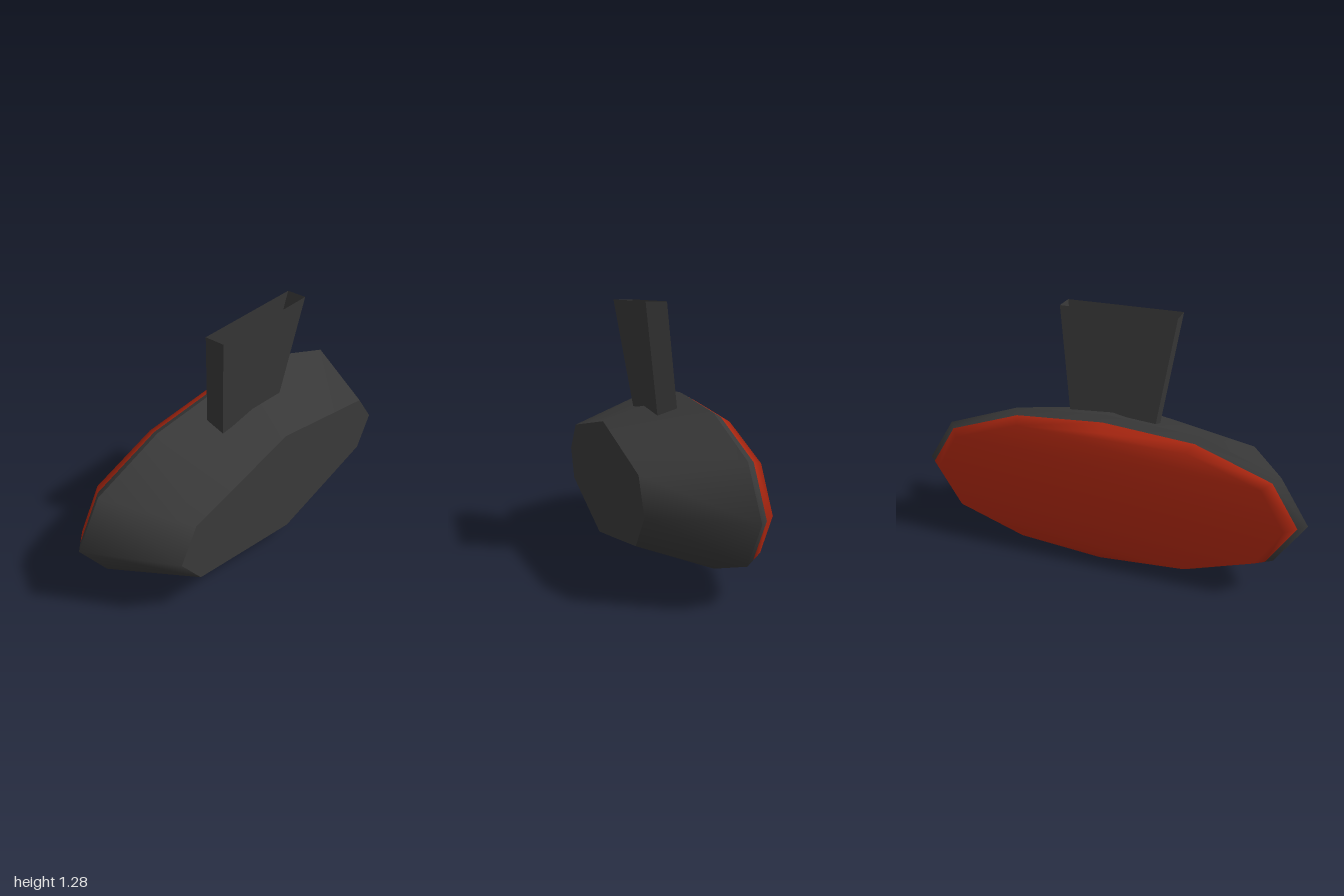
import * as THREE from 'three';

const housingMat = new THREE.MeshStandardMaterial({ color: 0x383838, side: THREE.DoubleSide });
housingMat.name = 'dark grey plastic';
const lensMat = new THREE.MeshStandardMaterial({ color: 0xaa2610 });
lensMat.name = 'red lens';

// Twelve-sided outline from its right-hand quarter; z leans linearly with height
function outline(quarter, zAtBase, lean) {
  const [tip, upper, shoulder, top, bottom, lowShoulder, lower] = quarter;
  const mirror = ([x, y]) => [-x, y];
  return [tip, upper, shoulder, top, mirror(shoulder), mirror(upper), mirror(tip),
    mirror(lower), mirror(lowShoulder), bottom, lowShoulder, lower]
    .map(([x, y]) => new THREE.Vector3(x, y, zAtBase + lean * y));
}

// Wall between two closed rings, with shared vertices for smooth shading
function wallIndex(n) {
  const index = [];
  for (let i = 0; i < n; i++) {
    const j = (i + 1) % n;
    index.push(i, j, n + j, i, n + j, n + i);
  }
  return index;
}

// Flat cap over a twelve-point ring, cut into horizontal strips
function capIndex(start, facesFront) {
  const rows = [[3, 3], [2, 4], [1, 5], [0, 6], [11, 7], [10, 8], [9, 9]];
  const index = [];
  const add = (a, b, c) => {
    if (a === b || b === c || a === c) return;
    index.push(...(facesFront ? [a, b, c] : [a, c, b]).map((k) => k + start));
  };
  for (let k = 0; k < rows.length - 1; k++) {
    const [r0, l0] = rows[k], [r1, l1] = rows[k + 1];
    add(r0, l0, l1);
    add(r0, l1, r1);
  }
  return index;
}

function makeMesh(name, points, index, material, flat = false) {
  let geo = new THREE.BufferGeometry().setFromPoints(points);
  geo.setIndex(index);
  if (flat) geo = geo.toNonIndexed();
  geo.computeVertexNormals();
  const mesh = new THREE.Mesh(geo, material);
  mesh.name = name;
  return mesh;
}

export function createModel() {
  const group = new THREE.Group();
  group.name = 'tailLight';

  // Outlines of the front face, widest rim and lens back
  const front = outline([[0.765, 0.41], [0.655, 0.565], [0.33, 0.627], [0, 0.69],
    [0, 0.125], [0.33, 0.19], [0.655, 0.255]], 0.27, -0.042);
  const rim = outline([[1, 0.412], [0.856, 0.64], [0.47, 0.783], [0, 0.82],
    [0, 0.003], [0.47, 0.045], [0.856, 0.188]], -0.174, 0.017);
  const back = outline([[0.9, 0.413], [0.78, 0.61], [0.43, 0.733], [0, 0.765],
    [0, 0.064], [0.43, 0.098], [0.78, 0.216]], -0.266, 0.014);
  const seam = rim.map((p, i) => p.clone().lerp(back[i], 0.43));

  // Housing: tapering shell, flat front and narrow bezel
  group.add(makeMesh('housingShell', [...rim, ...front], wallIndex(12), housingMat));
  group.add(makeMesh('housingFront', front, capIndex(0, true), housingMat));
  group.add(makeMesh('bezel', [...seam, ...rim], wallIndex(12), housingMat));

  // Lens: bevelled edge and back face shaded as one
  group.add(makeMesh('lens', [...back, ...seam], [...wallIndex(12), ...capIndex(0, false)], lensMat));

  // Mounting stem: open, flared and leaning forward
  const stemRing = (w, y, zFront, zBack) => [[w, zFront], [w, zBack], [-w, zBack], [-w, zFront]]
    .map(([x, z]) => new THREE.Vector3(x, y, z));
  group.add(makeMesh('mountingStem',
    [...stemRing(0.214, 0.7, 0.021, -0.08), ...stemRing(0.295, 1.28, 0.108, 0.006)],
    wallIndex(4), housingMat, true));

  return group;
}
